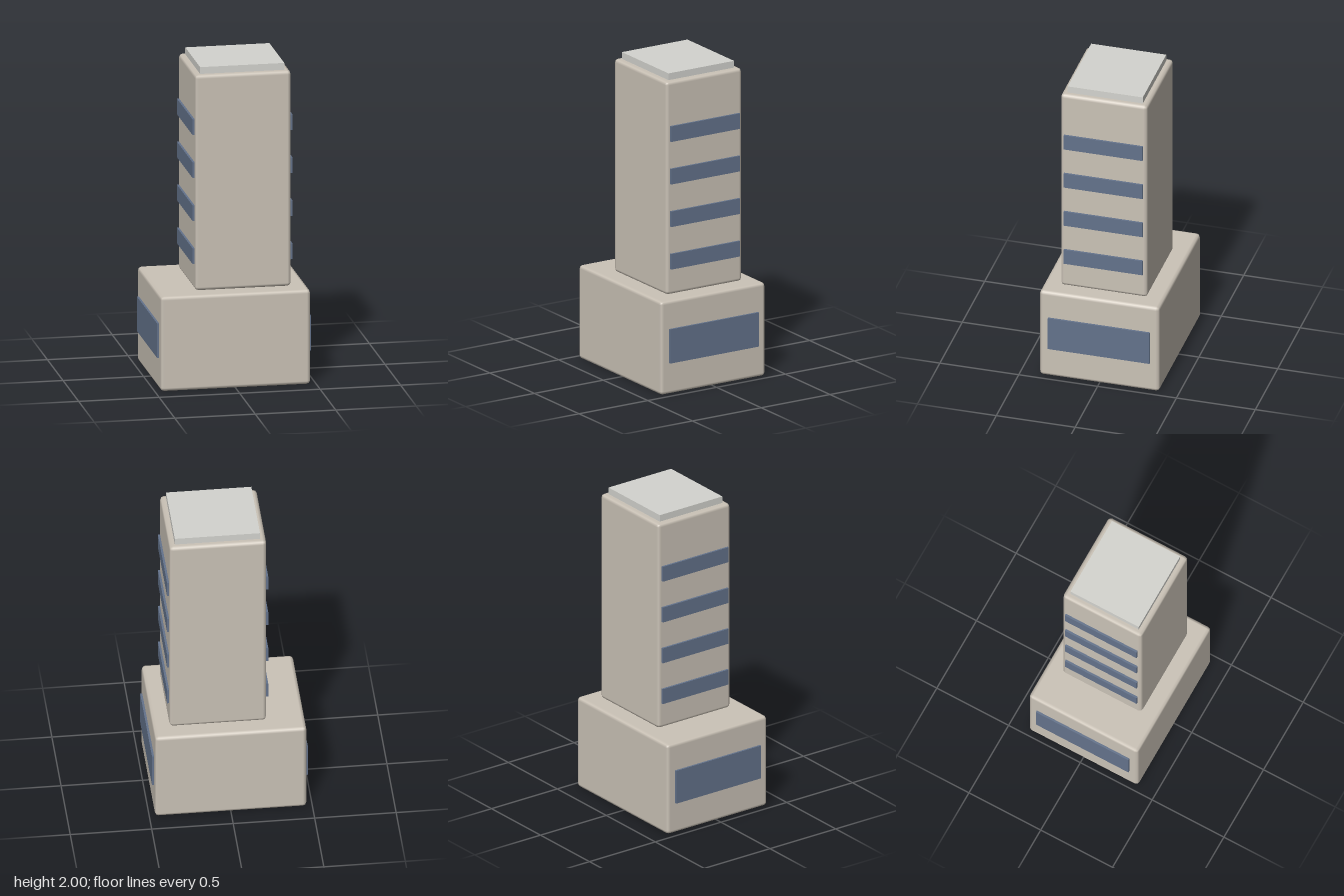
import * as THREE from 'three';
import { RoundedBoxGeometry } from 'three/addons/geometries/RoundedBoxGeometry.js';

const stone = new THREE.MeshStandardMaterial({ color: 0xcbc3b7 });
const glass = new THREE.MeshStandardMaterial({ color: 0x64738c });
const roofing = new THREE.MeshStandardMaterial({ color: 0xd4d4cf });

const TOWER_X = 0.067; // the tower stands off-centre on its podium

function addMesh(parent, name, geometry, material, x, y, z = 0) {
  const mesh = new THREE.Mesh(geometry, material);
  mesh.name = name;
  mesh.position.set(x, y, z);
  parent.add(mesh);
  return mesh;
}

// A pair of thin glass bands, one proud of each side wall
function addWindowPair(parent, name, centreX, halfWidth, y, height, depth) {
  const thickness = 0.026;
  for (const side of [-1, 1]) {
    addMesh(parent, name + (side > 0 ? 'Left' : 'Right'),
      new THREE.BoxGeometry(thickness, height, depth), glass,
      centreX + side * halfWidth, y);
  }
}

export function createModel() {
  const model = new THREE.Group();
  model.name = 'towerBuilding';

  // Podium with one wide window on each side
  const podium = new THREE.Group();
  podium.name = 'podium';
  model.add(podium);
  addMesh(podium, 'podiumBody', new RoundedBoxGeometry(0.93, 0.597, 0.76, 1, 0.022), stone, 0, 0.2985);
  addWindowPair(podium, 'podiumWindow', 0, 0.465, 0.309, 0.218, 0.645);

  // Tower with four floors of band windows
  const tower = new THREE.Group();
  tower.name = 'tower';
  model.add(tower);
  addMesh(tower, 'towerBody', new RoundedBoxGeometry(0.595, 1.36, 0.55, 1, 0.022), stone, TOWER_X, 1.277);
  for (let floor = 0; floor < 4; floor++) {
    addWindowPair(tower, 'floorWindow' + (floor + 1), TOWER_X, 0.2975, 0.811 + floor * 0.2717, 0.099, 0.5);
  }

  // Roof slab
  addMesh(model, 'roofSlab', new THREE.BoxGeometry(0.523, 0.05, 0.476), roofing, TOWER_X, 1.975);

  return model;
}
